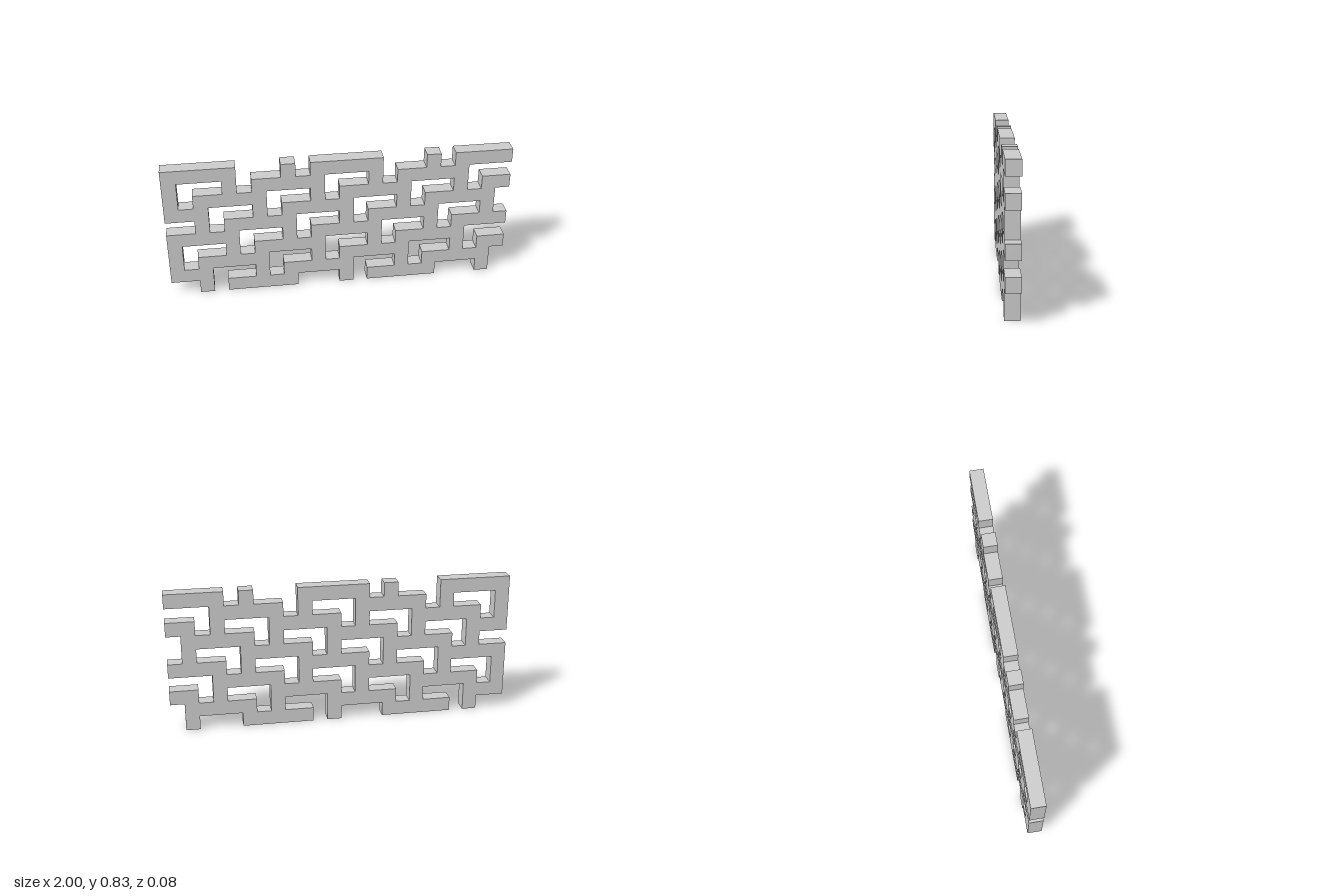
import * as THREE from 'three';
import { mergeGeometries, mergeVertices } from 'three/addons/utils/BufferGeometryUtils.js';

const COLS = 24, ROWS = 10;
const U = 2 / COLS; // one cell of the fretwork, also its thickness

// Interlocking T pattern: bars five cells long, each row shifted four cells to
// the left, with a one-cell stem joining the middle of every bar to the row above.
function isSolid(col, row) {
  if (col < 0 || col >= COLS || row < 0 || row >= ROWS) return false;
  const k = (col + 4 * row) % 10;
  return k <= 4 || k === 8;
}

// Square cell face, turned about x or y and pushed out from the cell centre
function face(rotX, rotY) {
  return new THREE.PlaneGeometry(U, U).translate(0, 0, U / 2).rotateX(rotX).rotateY(rotY);
}

export function createModel() {
  const H = Math.PI / 2;
  const front = face(0, 0), back = face(0, Math.PI);
  const sides = [
    { dc: 1, dr: 0, geo: face(0, H) },
    { dc: -1, dr: 0, geo: face(0, -H) },
    { dc: 0, dr: -1, geo: face(-H, 0) }, // upper side (rows count downwards)
    { dc: 0, dr: 1, geo: face(H, 0) },
  ];

  // Collect only the outer faces, so the lattice is one clean solid
  const faces = [];
  for (let row = 0; row < ROWS; row++) {
    for (let col = 0; col < COLS; col++) {
      if (!isSolid(col, row)) continue;
      const x = (col + 0.5) * U - 1;
      const y = (ROWS - row - 0.5) * U;
      const place = (geo) => faces.push(geo.clone().translate(x, y, 0));
      place(front);
      place(back);
      for (const { dc, dr, geo } of sides) {
        if (!isSolid(col + dc, row + dr)) place(geo);
      }
    }
  }

  const geometry = mergeGeometries(faces);
  geometry.deleteAttribute('uv');
  const panel = new THREE.Mesh(
    mergeVertices(geometry),
    new THREE.MeshStandardMaterial({ color: 0xcccccc })
  );
  panel.name = 'fretworkPanel';

  const group = new THREE.Group();
  group.name = 'latticeScreen';
  group.add(panel);
  return group;
}
